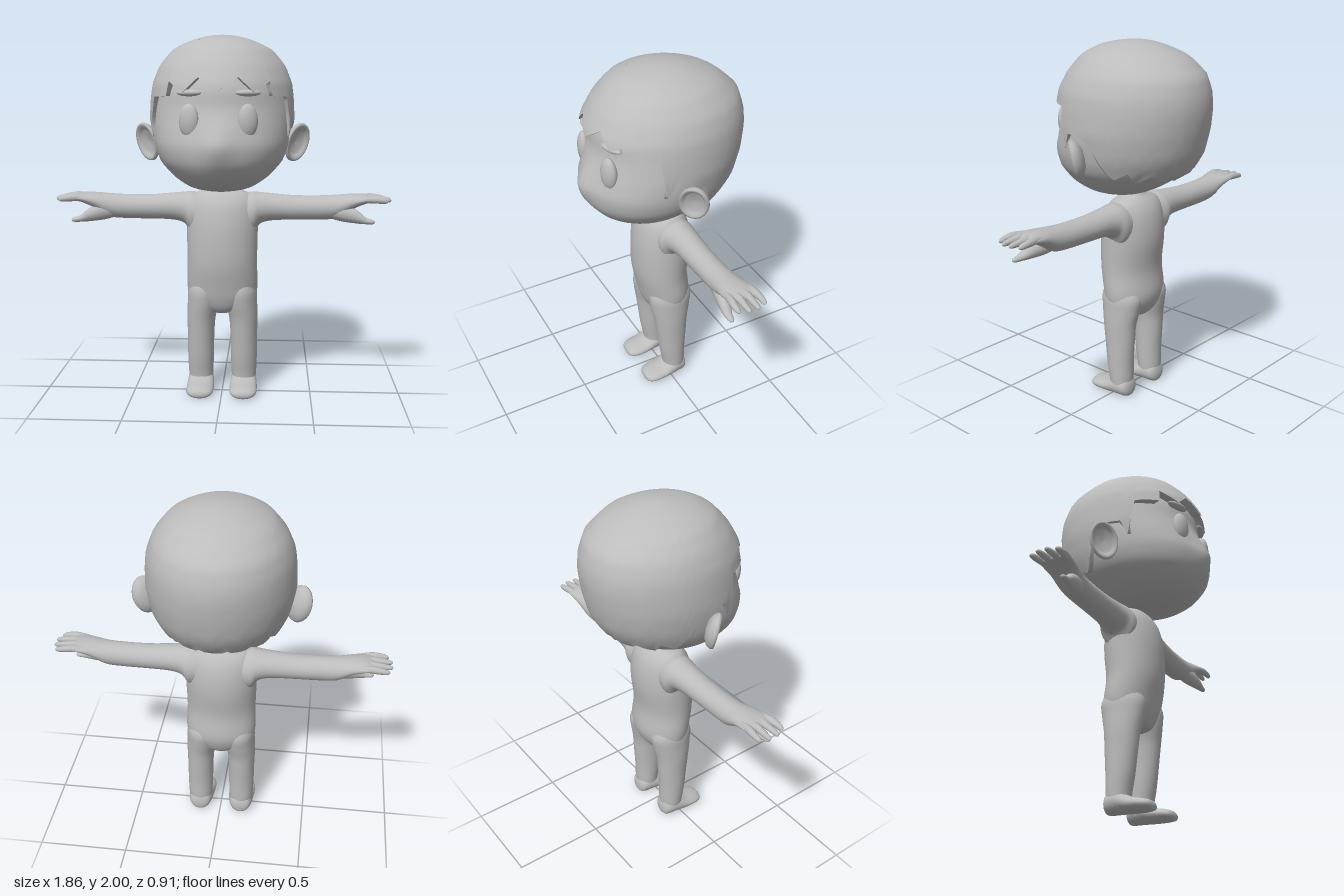
import * as THREE from 'three';
import { mergeVertices } from 'three/addons/utils/BufferGeometryUtils.js';

const clay = new THREE.MeshStandardMaterial({ color: 0xbcbcbc, side: THREE.DoubleSide });
clay.name = 'clayGrey';

function mesh(name, geometry, parent) {
  const m = new THREE.Mesh(geometry, clay);
  m.name = name;
  parent.add(m);
  return m;
}

// Smooth surface from rows of closed rings: fn(row, column) -> [x, y, z]
function ringSurface(rows, cols, fn) {
  const pos = [], idx = [];
  for (let i = 0; i <= rows; i++) for (let j = 0; j < cols; j++) pos.push(...fn(i, j));
  for (let i = 0; i < rows; i++) for (let j = 0; j < cols; j++) {
    const k = (j + 1) % cols;
    const a = i * cols + j, b = i * cols + k, c = b + cols, d = a + cols;
    idx.push(a, b, c, a, c, d);
  }
  let g = new THREE.BufferGeometry();
  g.setAttribute('position', new THREE.Float32BufferAttribute(pos, 3));
  g.setIndex(idx);
  g = mergeVertices(g, 1e-4);
  g.computeVertexNormals();
  return g;
}

// Loft through sections [s, centreU, centreV, radiusU, radiusV] along an axis;
// (u, v) is (y, z) for x, (z, x) for y and (x, y) for z.
function loft(axis, sections, cols = 24, sub = 4) {
  const at = (i) => sections[Math.min(Math.max(i, 0), sections.length - 1)];
  const sample = (t) => {
    const i = Math.min(Math.floor(t), sections.length - 2), f = t - i;
    const [p, q, r, s] = [at(i - 1), at(i), at(i + 1), at(i + 2)];
    return q.map((v, k) => {
      const m0 = (r[k] - p[k]) / 2, m1 = (s[k] - v) / 2, d = r[k] - v;
      const y = v + f * (m0 + f * (3 * d - 2 * m0 - m1 + f * (m0 + m1 - 2 * d)));
      return k > 2 ? Math.max(y, 0) : y;
    });
  };
  return ringSurface((sections.length - 1) * sub, cols, (i, j) => {
    const [s, cu, cv, ru, rv] = sample(i / sub);
    const a = (j / cols) * Math.PI * 2;
    const u = cu + ru * Math.cos(a), v = cv + rv * Math.sin(a);
    return axis === 'x' ? [s, u, v] : axis === 'y' ? [v, s, u] : [u, v, s];
  });
}

// Head sections: [y, half width, front z, back z]
const FACE = [
  [1.16, 0, 0.08, 0.08], [1.165, 0.07, 0.165, -0.02], [1.18, 0.15, 0.24, -0.08],
  [1.2, 0.19, 0.295, -0.13], [1.245, 0.255, 0.36, -0.215], [1.325, 0.33, 0.425, -0.325],
  [1.39, 0.357, 0.455, -0.38], [1.43, 0.365, 0.46, -0.395], [1.5, 0.375, 0.425, -0.42],
  [1.56, 0.377, 0.39, -0.43], [1.62, 0.375, 0.367, -0.435], [1.7, 0.36, 0.36, -0.43],
  [1.8, 0.32, 0.32, -0.39], [1.87, 0.27, 0.26, -0.34],
];
const HAIR = [
  [1.25, 0.275, 0.38, -0.245], [1.32, 0.34, 0.42, -0.35], [1.42, 0.375, 0.43, -0.412],
  [1.55, 0.395, 0.43, -0.443], [1.66, 0.39, 0.42, -0.456], [1.74, 0.38, 0.4, -0.45],
  [1.83, 0.345, 0.347, -0.42], [1.92, 0.27, 0.265, -0.315], [1.97, 0.165, 0.17, -0.195],
  [1.99, 0.095, 0.08, -0.125], [2, 0, -0.03, -0.03],
];
const bend = (y) => Math.asin(THREE.MathUtils.clamp((y - 1.58) / 0.42, -1, 1));

function headPoint(table, a, y, muzzle = 0) {
  let i = 0;
  while (i < table.length - 2 && y > table[i + 1][0]) i++;
  const lo = table[i], hi = table[i + 1];
  const f = (bend(y) - bend(lo[0])) / (bend(hi[0]) - bend(lo[0]));
  const [w, zf, zb] = [1, 2, 3].map((k) => lo[k] + (hi[k] - lo[k]) * f);
  const x = w * Math.sin(a), c = Math.cos(a);
  const ridge = muzzle * Math.max(c, 0) * (Math.exp(-((x / 0.07) ** 2)) - 1)
    * Math.exp(-(((y - 1.43) / 0.1) ** 2));
  return [x, y, (zf + zb) / 2 + ((zf - zb) / 2) * c + ridge];
}

// Jagged hairline: [degrees from the front, y], mirrored to both sides
const HAIRLINE = [
  [0, 1.7], [16, 1.77], [28, 1.695], [43.5, 1.75], [45, 1.675], [64, 1.67], [66, 1.6],
  [72, 1.455], [76, 1.54], [86, 1.545], [97, 1.5], [105, 1.41], [112, 1.35], [118, 1.32],
  [128, 1.36], [136, 1.295], [148, 1.345], [158, 1.29], [168, 1.335], [180, 1.285],
];
function hairColumns() {
  const half = [];
  HAIRLINE.slice(0, -1).forEach(([a, y], i) => {
    const [b, z] = HAIRLINE[i + 1];
    for (let k = 0; k < 3; k++) half.push([a + ((b - a) * k) / 3, y + ((z - y) * k) / 3]);
  });
  half.push(HAIRLINE[HAIRLINE.length - 1]);
  const other = half.slice(1, -1).reverse().map(([a, y]) => [360 - a, y]);
  return [...half, ...other].map(([a, y]) => [THREE.MathUtils.degToRad(a), y]);
}

function buildHead(parent) {
  const head = new THREE.Group();
  head.name = 'head';
  parent.add(head);
  mesh('face', ringSurface(32, 56, (i, j) => headPoint(FACE, (j / 56) * Math.PI * 2,
    1.58 + 0.42 * Math.sin(-Math.PI / 2 + (i / 32) * 2.3), 0.03)), head);
  const cols = hairColumns();
  mesh('hair', ringSurface(24, cols.length, (i, j) => {
    const [a, b] = cols[j];
    return headPoint(HAIR, a, b + (2 - b) * Math.sin((i / 24) * Math.PI / 2));
  }), head);
  // Underside of the hair edge, running in to the skin
  mesh('hairEdge', ringSurface(1, cols.length, (i, j) =>
    headPoint(i ? HAIR : FACE, cols[j][0], cols[j][1])), head);

  const dish = [[0, -0.8], [0.5, -0.7], [0.85, -0.35], [1, 0.1], [0.97, 0.38], [0.85, 0.42],
    [0.72, 0.2], [0.55, -0.05], [0, -0.15]].map(([r, h]) => new THREE.Vector2(r, h));
  const ball = new THREE.SphereGeometry(1, 24, 16);
  const dishGeometry = new THREE.LatheGeometry(dish, 28).rotateX(Math.PI / 2);
  for (const s of [1, -1]) {
    const side = s > 0 ? 'left' : 'right';
    const eye = mesh(side + 'Eye', ball, head);
    eye.position.set(s * 0.15, 1.55, 0.355);
    eye.scale.set(0.053, 0.088, 0.033);
    eye.rotation.y = s * 0.3;
    const brow = mesh(side + 'Eyebrow', ball, head);
    brow.position.set(s * 0.152, 1.692, 0.338);
    brow.scale.set(0.068, 0.018, 0.026);
    brow.rotation.y = s * 0.35;
    const ear = mesh(side + 'Ear', dishGeometry, head);
    ear.position.set(s * 0.405, 1.425, 0.012);
    ear.rotation.set(0, s * 0.75, -s * 0.3, 'ZYX');
    ear.scale.set(0.08, 0.108, 0.05);
  }
}

// Arm, hand, leg and foot of the left side
function buildLimbs(group) {
  mesh('arm', loft('x', [
    [0.05, 1.04, -0.02, 0.08, 0.09], [0.16, 1.025, -0.025, 0.12, 0.105],
    [0.21, 1.053, -0.028, 0.089, 0.09], [0.28, 1.06, -0.03, 0.076, 0.078],
    [0.4, 1.057, -0.03, 0.069, 0.072], [0.55, 1.058, -0.03, 0.068, 0.07],
    [0.64, 1.066, -0.03, 0.065, 0.073], [0.72, 1.093, -0.027, 0.043, 0.08],
    [0.79, 1.108, -0.027, 0.026, 0.086], [0.83, 1.107, -0.027, 0.015, 0.076],
    [0.84, 1.107, -0.027, 0, 0],
  ]), group);
  [[-0.098, 0.915], [-0.05, 0.932], [0, 0.932], [0.047, 0.912]].forEach(([z, tip], i) => {
    const root = -0.027 + (z + 0.027) * 0.85;
    mesh('finger' + (i + 1), loft('x', [
      [0.76, 1.11, root, 0.015, 0.015], [0.82, 1.112, (root + z) / 2, 0.02, 0.021],
      [0.87, 1.108, z, 0.017, 0.017], [tip - 0.012, 1.104, z, 0.012, 0.012],
      [tip, 1.103, z, 0, 0],
    ], 12), group);
  });
  mesh('thumb', loft('x', [
    [0.58, 1.045, -0.015, 0.04, 0.035], [0.66, 1.035, 0, 0.05, 0.042],
    [0.74, 1.015, 0.02, 0.038, 0.034], [0.79, 0.994, 0.032, 0.019, 0.022],
    [0.83, 0.988, 0.036, 0.012, 0.014], [0.842, 0.988, 0.037, 0, 0],
  ], 16), group);
  mesh('leg', loft('y', [
    [0.03, -0.035, 0.122, 0.06, 0.065], [0.1, -0.036, 0.123, 0.067, 0.07],
    [0.2, -0.028, 0.123, 0.077, 0.074], [0.33, -0.024, 0.122, 0.09, 0.076],
    [0.43, -0.021, 0.119, 0.1, 0.081], [0.52, -0.022, 0.106, 0.118, 0.091],
    [0.6, -0.024, 0.1, 0.125, 0.092], [0.68, -0.02, 0.09, 0.09, 0.07],
  ]), group);
  const foot = loft('z', [
    [-0.11, 0.122, 0.05, 0, 0], [-0.105, 0.122, 0.052, 0.035, 0.035],
    [-0.085, 0.122, 0.06, 0.06, 0.058], [-0.03, 0.122, 0.063, 0.073, 0.062],
    [0.045, 0.122, 0.042, 0.077, 0.041], [0.115, 0.122, 0.034, 0.074, 0.032],
    [0.153, 0.122, 0.03, 0.05, 0.022], [0.162, 0.122, 0.028, 0, 0],
  ]);
  // Flatten the sole
  const p = foot.attributes.position;
  for (let i = 0; i < p.count; i++) p.setY(i, Math.max(p.getY(i) - 0.006, 0));
  foot.computeVertexNormals();
  mesh('foot', foot, group);
}

export function createModel() {
  const model = new THREE.Group();
  model.name = 'figure';
  mesh('torso', loft('y', [
    [0.455, -0.02, 0, 0, 0], [0.463, -0.02, 0, 0.06, 0.05], [0.49, -0.022, 0, 0.1, 0.12],
    [0.55, -0.025, 0, 0.128, 0.183], [0.62, -0.023, 0, 0.142, 0.199],
    [0.75, -0.005, 0, 0.148, 0.195], [0.9, -0.012, 0, 0.157, 0.198],
    [1, -0.016, 0, 0.15, 0.197], [1.08, -0.018, 0, 0.13, 0.187],
    [1.13, -0.02, 0, 0.1, 0.16], [1.155, -0.02, 0, 0.075, 0.11],
    [1.17, -0.02, 0, 0.06, 0.07], [1.2, -0.01, 0, 0.05, 0.055],
  ], 36), model);
  for (const s of [1, -1]) {
    const limbs = new THREE.Group();
    limbs.name = s > 0 ? 'leftLimbs' : 'rightLimbs';
    buildLimbs(limbs);
    limbs.scale.x = s;
    model.add(limbs);
  }
  buildHead(model);
  return model;
}
